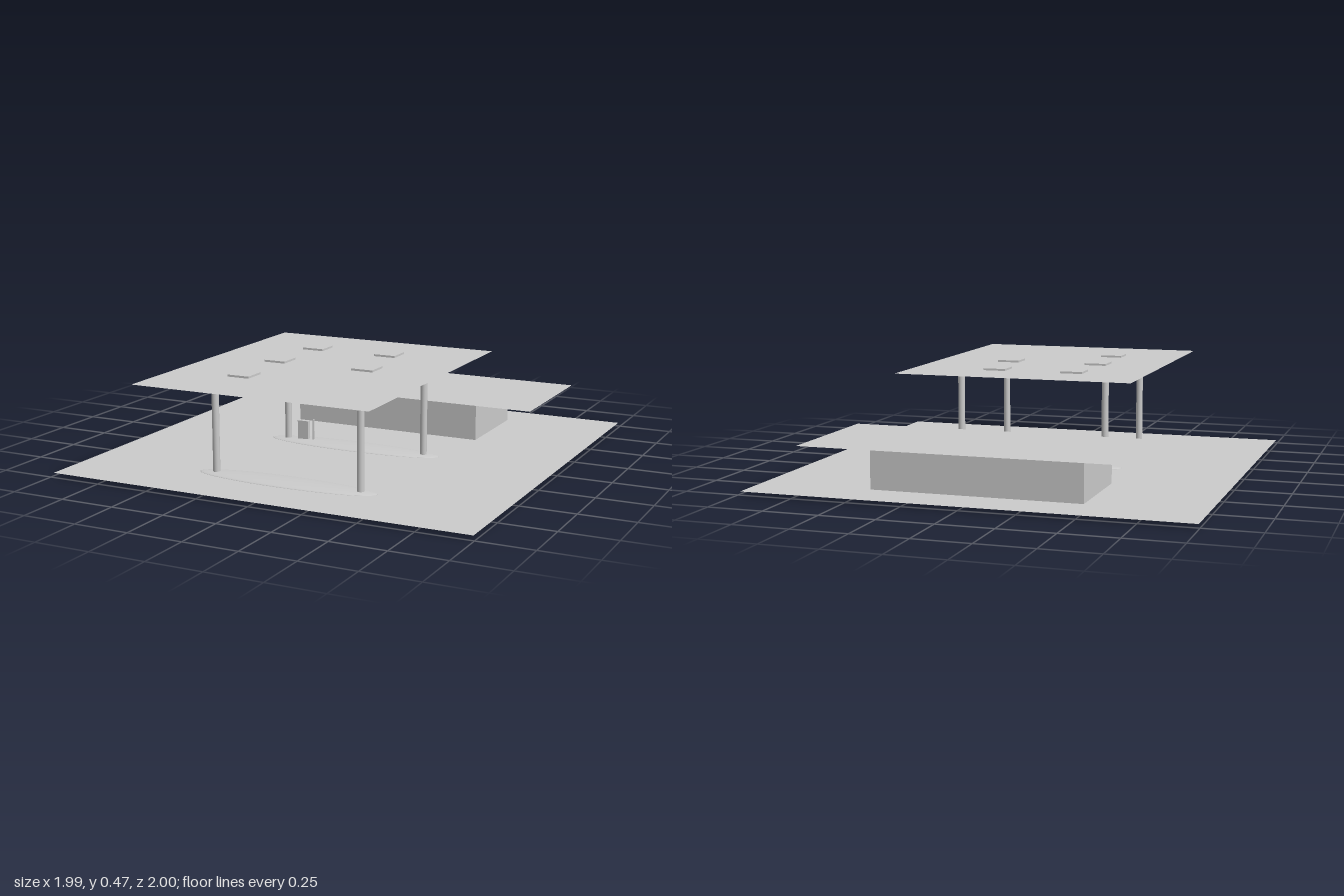
import * as THREE from 'three';

export function createModel() {
  const model = new THREE.Group();
  const solid = new THREE.MeshStandardMaterial({ color: 0xcccccc });
  const thin = new THREE.MeshStandardMaterial({ color: 0xcccccc, side: THREE.DoubleSide });

  const add = (name, geometry, x, y, z, material = solid, parent = model) => {
    const mesh = new THREE.Mesh(geometry, material);
    mesh.name = name;
    mesh.position.set(x, y, z);
    parent.add(mesh);
    return mesh;
  };
  // Horizontal sheet between two corners
  const sheet = (name, x0, x1, y, z0, z1) =>
    add(name, new THREE.PlaneGeometry(x1 - x0, z1 - z0).rotateX(-Math.PI / 2),
      (x0 + x1) / 2, y, (z0 + z1) / 2, thin);

  // Ground, shop roof and canopy are single thin sheets
  sheet('ground', -0.995, 0.99, 0.016, -1, 0.985);
  sheet('shopRoof', -0.78, 0.772, 0.208, -0.9, -0.272);
  sheet('canopy', -0.556, 0.552, 0.461, -0.345, 1);

  // Shop building under the rear roof
  add('shop', new THREE.BoxGeometry(0.95, 0.187, 0.445), -0.003, 0.112, -0.58);

  // Two lens-shaped pump islands, each with a pair of canopy posts
  for (const z of [0.665, 0]) {
    add('pumpIsland', new THREE.SphereGeometry(1, 40, 20).scale(0.435, 0.015, 0.085), 0, 0.015, z);
    for (const x of [-0.35, 0.355]) {
      add('canopyPost', new THREE.CylinderGeometry(0.016, 0.016, 0.437, 24), x, 0.2375, z);
    }
  }

  // Fuel pump with its slim hose stand on the rear island
  const pump = new THREE.Group();
  pump.name = 'fuelPump';
  add('pumpBody', new THREE.BoxGeometry(0.055, 0.09, 0.022), -0.267, 0.07, 0, solid, pump);
  add('hoseStand', new THREE.BoxGeometry(0.006, 0.1, 0.012), -0.215, 0.075, 0, solid, pump);
  model.add(pump);

  // Canopy lights: a square housing with a smaller lens below
  const lights = [
    [-0.215, 0.47, -0.05], [0.155, 0.47, -0.05],
    [-0.237, 0.47, 0.283], [0.2, 0.47, 0.283],
    [-0.222, 0.47, 0.632], [0.207, 0.46, 0.685],
  ];
  for (const [x, top, z] of lights) {
    const light = new THREE.Group();
    light.name = 'canopyLight';
    add('lightHousing', new THREE.BoxGeometry(0.104, 0.025, 0.104), 0, -0.0125, 0, solid, light);
    add('lightLens', new THREE.BoxGeometry(0.062, 0.015, 0.062), 0, -0.0325, 0, solid, light);
    light.position.set(x, top, z);
    model.add(light);
  }

  return model;
}
